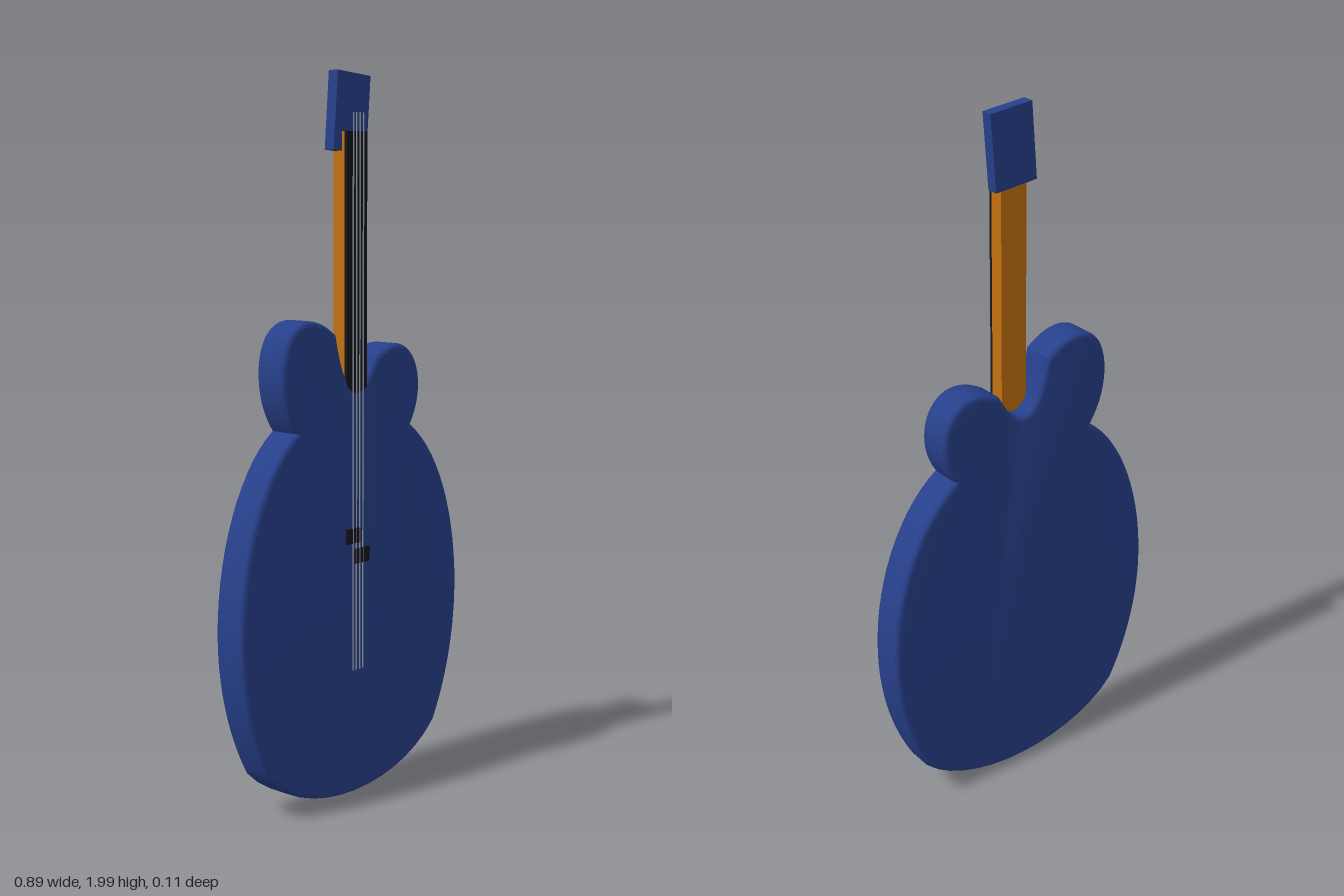
import * as THREE from 'three';
import { toCreasedNormals } from 'three/addons/utils/BufferGeometryUtils.js';

const paint = (color) => new THREE.MeshStandardMaterial({ color });
const blue = paint(0x27408b), wood = paint(0xc4710f), black = paint(0x15171c), steel = paint(0x8a8f9c);

// Box given by its centre in x and y, its size, and its back and front in z
function slab(name, material, x, y, w, h, back, front) {
  const mesh = new THREE.Mesh(new THREE.BoxGeometry(w, h, front - back), material);
  mesh.name = name;
  mesh.position.set(x, y, (back + front) / 2);
  return mesh;
}

// Rounded body outline with two uneven horns and a notch for the neck
function bodyShape() {
  const s = new THREE.Shape();
  s.moveTo(-0.345, 0.135);
  s.bezierCurveTo(-0.19, -0.03, 0.19, -0.03, 0.345, 0.135);
  s.bezierCurveTo(0.41, 0.25, 0.445, 0.39, 0.445, 0.53);
  s.bezierCurveTo(0.445, 0.75, 0.36, 0.95, 0.233, 1.033);
  s.bezierCurveTo(0.258, 1.07, 0.27, 1.11, 0.268, 1.15);
  s.bezierCurveTo(0.265, 1.22, 0.22, 1.265, 0.17, 1.265);
  s.bezierCurveTo(0.135, 1.265, 0.105, 1.25, 0.08, 1.235);
  s.bezierCurveTo(0.05, 1.18, 0.03, 1.155, 0, 1.155);
  s.bezierCurveTo(-0.035, 1.155, -0.06, 1.21, -0.08, 1.305);
  s.bezierCurveTo(-0.115, 1.332, -0.15, 1.347, -0.185, 1.347);
  s.bezierCurveTo(-0.25, 1.345, -0.288, 1.29, -0.288, 1.21);
  s.bezierCurveTo(-0.288, 1.15, -0.27, 1.1, -0.238, 1.055);
  s.bezierCurveTo(-0.36, 0.97, -0.447, 0.76, -0.447, 0.53);
  s.bezierCurveTo(-0.447, 0.39, -0.41, 0.25, -0.345, 0.135);
  return s;
}

export function createModel() {
  const guitar = new THREE.Group();
  guitar.name = 'guitar';

  // Body with softly rounded rims
  const bevel = 0.015, back = -0.054, front = 0.046;
  const geometry = new THREE.ExtrudeGeometry(bodyShape(), {
    depth: front - back - 2 * bevel, curveSegments: 14,
    bevelThickness: bevel, bevelSize: bevel, bevelOffset: -bevel, bevelSegments: 4,
  });
  geometry.translate(0, 0, back + bevel);
  const body = new THREE.Mesh(toCreasedNormals(geometry, 0.5), blue);
  body.name = 'body';
  guitar.add(body);

  // Neck and fretboard, both let into the body
  guitar.add(slab('neck', wood, -0.002, 1.47, 0.082, 0.74, -0.003, 0.037));
  guitar.add(slab('fretboard', black, -0.002, 1.47, 0.082, 0.742, 0.037, 0.0455));

  // Tilted headstock
  const headstock = slab('headstock', blue, -0.002, 1.89, 0.131, 0.207, -0.004, 0.028);
  headstock.rotation.z = -0.08;
  guitar.add(headstock);

  // Two staggered pickups
  guitar.add(slab('upperPickup', black, -0.02, 0.75, 0.058, 0.042, 0.04, 0.053));
  guitar.add(slab('lowerPickup', black, 0.015, 0.692, 0.058, 0.042, 0.04, 0.053));

  // Strings
  for (let i = 0; i < 4; i++) {
    const string = new THREE.Mesh(new THREE.CylinderGeometry(0.002, 0.002, 1.52, 8), steel);
    string.name = 'string' + (i + 1);
    string.position.set(-0.024 + i * 0.0135, 1.13, 0.052);
    guitar.add(string);
  }
  return guitar;
}
